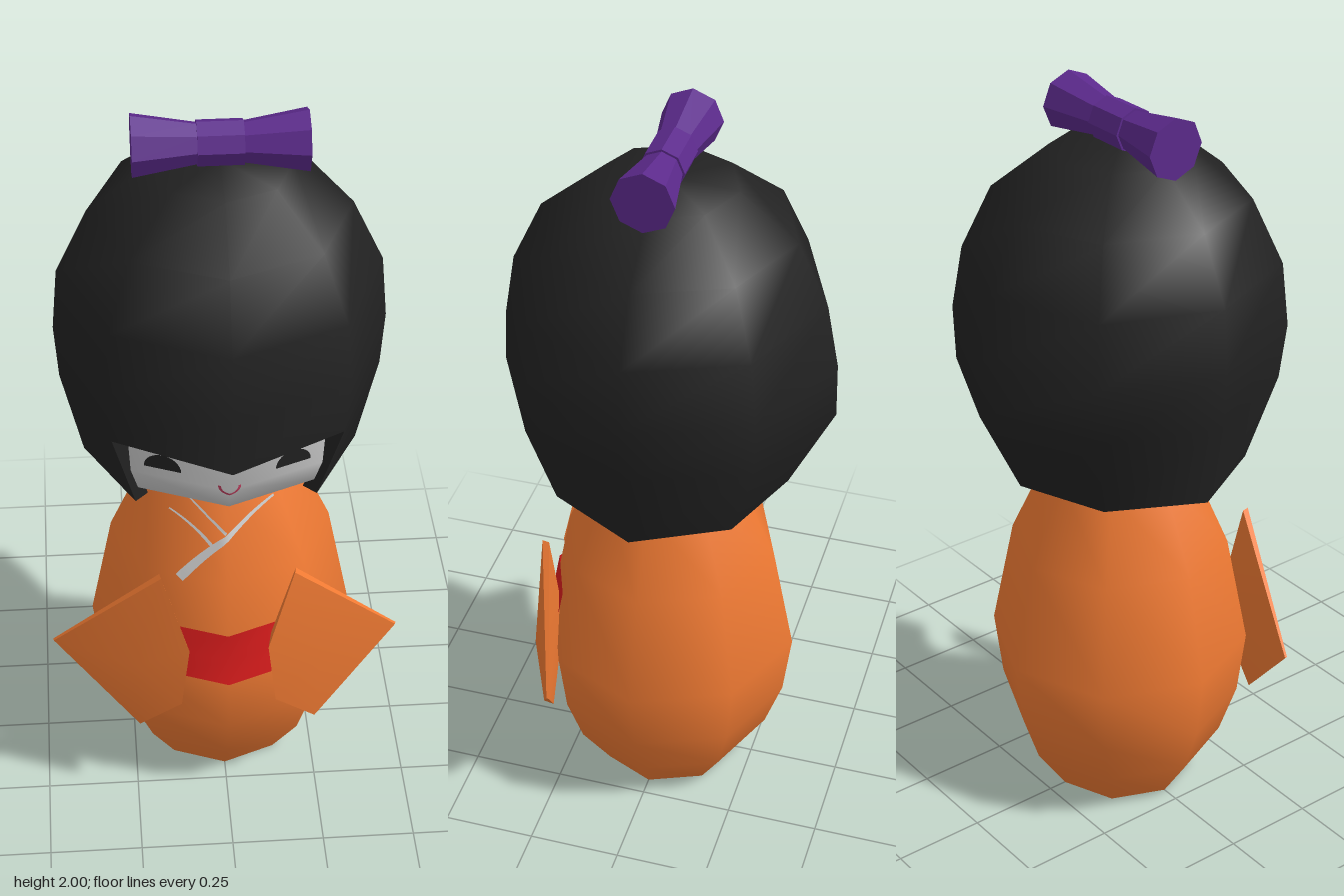
import * as THREE from 'three';
import { ConvexGeometry } from 'three/addons/geometries/ConvexGeometry.js';
import { toCreasedNormals } from 'three/addons/utils/BufferGeometryUtils.js';

const FRONT = 0.95; // the robe is slightly flatter in front
const BODY = [[0.2, 0], [0.287, 0.13], [0.335, 0.27], [0.357, 0.45], [0.297, 0.75], [0.195, 0.975]];
const HEAD = [[0.18, 0.975], [0.26, 1.005], [0.32, 1.05], [0.345, 1.12], [0.355, 1.26]];

const mat = (color, opts = {}) => new THREE.MeshStandardMaterial({ color, ...opts });

function add(parent, name, geometry, material) {
  const mesh = new THREE.Mesh(geometry, material);
  mesh.name = name;
  parent.add(mesh);
  return mesh;
}

// Closed eight-sided turned form; doubled end points keep the rims sharp
function turned(profile) {
  const first = profile[0], last = profile[profile.length - 1];
  const pts = [[0, first[1]], first, ...profile, last, [0, last[1]]];
  return new THREE.LatheGeometry(pts.map(p => new THREE.Vector2(...p)), 8);
}

// Depth of the front facets of a turned form at (x, y)
function frontZ(profile, x, y, scale) {
  let i = 0;
  while (i < profile.length - 2 && y > profile[i + 1][1]) i++;
  const [r0, y0] = profile[i], [r1, y1] = profile[i + 1];
  const r = r0 + (r1 - r0) * (y - y0) / (y1 - y0);
  return (r - Math.abs(x) * Math.tan(Math.PI / 8)) * scale;
}

// Lay a flat geometry onto the front of a turned form
function project(geo, profile, scale = 1, lift = 0.004) {
  const p = geo.attributes.position;
  for (let i = 0; i < p.count; i++) {
    p.setZ(i, frontZ(profile, p.getX(i), p.getY(i), scale) + lift);
  }
  geo.computeVertexNormals();
  return geo;
}

// Tapering flat ribbon along a curve in the xy plane
function ribbon(a, ctrl, b, w0, w1) {
  const curve = new THREE.QuadraticBezierCurve(
    new THREE.Vector2(...a), new THREE.Vector2(...ctrl), new THREE.Vector2(...b));
  const geo = new THREE.PlaneGeometry(1, 1, 16, 1);
  const p = geo.attributes.position;
  for (let i = 0; i < p.count; i++) {
    const t = p.getX(i) + 0.5;
    const c = curve.getPoint(t), d = curve.getTangent(t);
    const off = p.getY(i) * (w0 + (w1 - w0) * t);
    p.setXY(i, c.x - d.y * off, c.y + d.x * off);
  }
  return geo;
}

function meshFrom(positions, index) {
  const geo = new THREE.BufferGeometry();
  geo.setAttribute('position', new THREE.Float32BufferAttribute(positions, 3));
  geo.setIndex(index);
  geo.computeVertexNormals();
  return geo;
}

// Bobbed hair: octagonal rings with the two front panels left open below the fringe
function buildHair(group, material) {
  // y, then radius at front, front diagonal, side, back diagonal, back
  const rings = [
    [1.01, 0.33, 0.33, 0.36, 0.335, 0.327],
    [1.25, 0.445, 0.41, 0.415, 0.435, 0.445],
    [1.4, 0.438, 0.428, 0.425, 0.44, 0.442],
    [1.57, 0.41, 0.41, 0.41, 0.41, 0.41],
    [1.74, 0.33, 0.33, 0.33, 0.33, 0.33],
    [1.86, 0.18, 0.18, 0.18, 0.18, 0.18],
    [1.872, 0, 0, 0, 0, 0],
  ];
  const point = (r, k, s = 1) => {
    const col = (k + 8) % 8, a = col * Math.PI / 4;
    const rad = rings[r][1 + Math.min(col, 8 - col)] * s;
    return [Math.sin(a) * rad, rings[r][0], Math.cos(a) * rad];
  };
  const pos = [], idx = [];
  rings.forEach((_, r) => { for (let k = 0; k < 8; k++) pos.push(...point(r, k)); });
  for (let r = 0; r < rings.length - 1; r++) {
    for (let k = 0; k < 8; k++) {
      if (r === 0 && (k === 0 || k === 7)) continue;
      const a = r * 8 + k, b = r * 8 + (k + 1) % 8;
      idx.push(a, b, b + 8, a, b + 8, a + 8);
    }
  }
  add(group, 'hair', meshFrom(pos, idx), material);

  // Thickness along the hem, the side locks and the fringe
  const lip = [], lipIdx = [];
  const strip = (r0, k0, r1, k1, s) => {
    const n = lip.length / 3;
    lip.push(...point(r0, k0), ...point(r1, k1), ...point(r1, k1, s), ...point(r0, k0, s));
    lipIdx.push(n, n + 2, n + 1, n, n + 3, n + 2);
  };
  for (let k = 1; k < 7; k++) strip(0, k, 0, k + 1, 0.87);
  for (const k of [-1, 0]) strip(1, k, 1, k + 1, 0.78);
  strip(1, 1, 0, 1, 0.86);
  strip(0, 7, 1, 7, 0.86);
  add(group, 'hairEdge', meshFrom(lip, lipIdx), material);
}

export function createModel() {
  const group = new THREE.Group();
  const skin = mat(0xcccccc);
  const trim = mat(0xcccccc, { side: THREE.DoubleSide });
  const orange = mat(0xf07a33);
  const black = mat(0x222222, { side: THREE.DoubleSide });
  const red = mat(0xd81c1c, { side: THREE.DoubleSide });
  const pink = mat(0xc04060, { side: THREE.DoubleSide });
  const purple = mat(0x5c2a8c, { flatShading: true });

  // Robe
  const robe = turned(BODY);
  const rp = robe.attributes.position;
  for (let i = 0; i < rp.count; i++) if (rp.getZ(i) > 0) rp.setZ(i, rp.getZ(i) * FRONT);
  add(group, 'robe', robe, orange);

  // Sash
  const sash = new THREE.PlaneGeometry(0.3, 0.15, 2, 2).translate(0, 0.525, 0);
  add(group, 'sash', project(sash, BODY, FRONT, 0.006), red);

  // Crossed collar lines
  const collar = [
    ribbon([-0.125, 0.747], [0, 0.89], [0.13, 0.945], 0.024, 0.006),
    ribbon([-0.145, 0.92], [-0.08, 0.89], [-0.035, 0.842], 0.004, 0.01),
    ribbon([-0.095, 0.96], [-0.05, 0.92], [0, 0.88], 0.004, 0.008),
  ];
  collar.forEach(geo => add(group, 'collar', project(geo, BODY, FRONT), trim));

  // Sleeves: outline corners with the depth of the cloth behind each
  const corners = [
    [0.175, 0.8, 0.3, 0.02], [0.465, 0.51, 0.2, 0.008], [0.24, 0.27, 0.292, 0.03],
    [0.127, 0.38, 0.335, 0.06], [0.105, 0.575, 0.34, 0.06],
  ];
  for (const s of [1, -1]) {
    const pts = [new THREE.Vector3(s * 0.25, 0.5, 0.305)];
    for (const [x, y, z, d] of corners) {
      pts.push(new THREE.Vector3(s * x, y, z), new THREE.Vector3(s * (x + d * 0.2), y, z - d));
    }
    add(group, s > 0 ? 'leftSleeve' : 'rightSleeve',
      toCreasedNormals(new ConvexGeometry(pts), 0.6), orange);
  }

  // Head and face
  add(group, 'head', turned(HEAD), skin);
  for (const s of [1, -1]) {
    const eye = new THREE.CircleGeometry(0.046, 16, 0, Math.PI).translate(s * 0.165, 1.15, 0);
    add(group, s > 0 ? 'leftEye' : 'rightEye', project(eye, HEAD), black);
  }
  const mouth = new THREE.RingGeometry(0.022, 0.029, 16, 1, Math.PI, Math.PI).translate(0, 1.134, 0);
  add(group, 'mouth', project(mouth, HEAD), pink);

  buildHair(group, black);

  // Bow lying across the crown
  const bow = new THREE.Group();
  bow.name = 'bow';
  bow.position.y = 1.92;
  bow.rotation.z = -Math.PI / 2;
  add(bow, 'bowLoops', turned([[0.08, -0.215], [0.052, -0.055], [0.052, 0.055], [0.08, 0.215]]), purple);
  add(bow, 'bowKnot', turned([[0.058, -0.057], [0.058, 0.057]]), purple);
  group.add(bow);

  return group;
}
